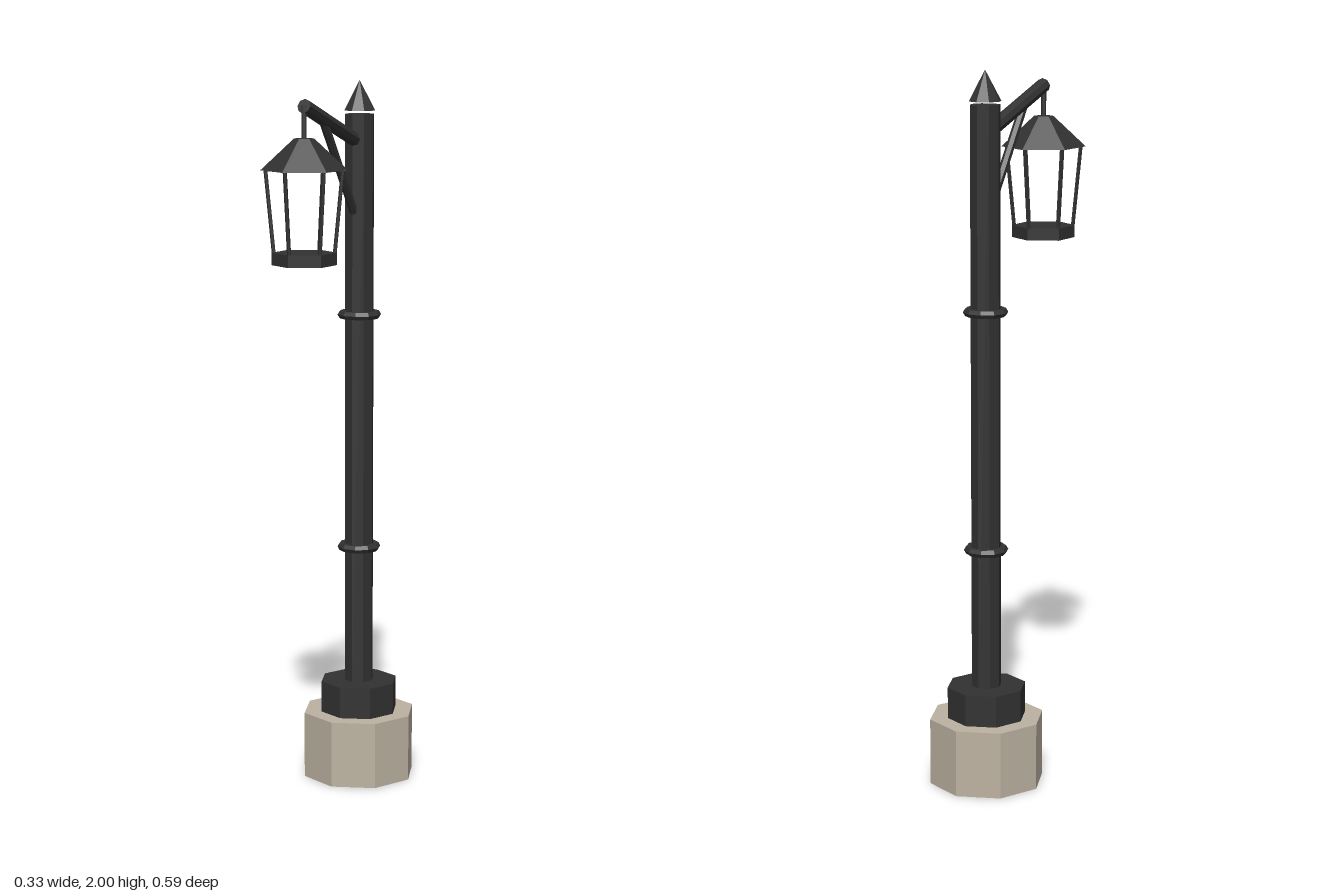
import * as THREE from 'three';

export function createModel() {
  const model = new THREE.Group();
  const iron = new THREE.MeshStandardMaterial({ color: 0x323232 });
  iron.name = 'dark iron';
  const stone = new THREE.MeshStandardMaterial({ color: 0xbdb3a2 });
  stone.name = 'pale stone';
  const poleZ = -0.135, lampZ = 0.178;

  const add = (name, geometry, material = iron, parent = model) => {
    const flat = geometry.index ? geometry.toNonIndexed() : geometry;
    flat.computeVertexNormals(); // faceted look
    const mesh = new THREE.Mesh(flat, material);
    mesh.name = name;
    parent.add(mesh);
    return mesh;
  };

  // Upright prism or frustum between two heights
  const prism = (name, rTop, rBottom, y0, y1, sides, z, material, parent) => {
    const mesh = add(name, new THREE.CylinderGeometry(rTop, rBottom, y1 - y0, sides), material, parent);
    mesh.position.set(0, (y0 + y1) / 2, z);
    return mesh;
  };

  // Straight bar between two points
  const bar = (name, a, b, r, sides, parent) => {
    const dir = b.clone().sub(a);
    const mesh = add(name, new THREE.CylinderGeometry(r, r, dir.length(), sides), iron, parent);
    mesh.position.copy(a).add(b).multiplyScalar(0.5);
    mesh.quaternion.setFromUnitVectors(new THREE.Vector3(0, 1, 0), dir.normalize());
    return mesh;
  };
  const at = (y, z) => new THREE.Vector3(0, y, z);

  // Stepped base and post
  prism('stoneBase', 0.163, 0.163, 0, 0.19, 8, poleZ, stone);
  prism('postFoot', 0.112, 0.112, 0.19, 0.28, 8, poleZ);
  prism('post', 0.042, 0.042, 0.28, 1.907, 8, poleZ);
  add('finial', new THREE.ConeGeometry(0.045, 0.084, 8)).position.set(0, 1.958, poleZ);

  // Collars around the post
  for (const y of [0.675, 1.345]) {
    const collar = add('collar', new THREE.TorusGeometry(0.05, 0.012, 6, 10).rotateX(Math.PI / 2));
    collar.position.set(0, y, poleZ);
  }

  // Arm, diagonal brace and hanging rod
  bar('arm', at(1.826, -0.135), at(1.939, 0.178), 0.02, 8);
  bar('brace', at(1.61, -0.12), at(1.9, 0.075), 0.012, 6);
  bar('hangingRod', at(1.84, lampZ), at(1.94, lampZ), 0.007, 6);

  // Open six-sided lantern
  const lantern = new THREE.Group();
  lantern.name = 'lantern';
  model.add(lantern);
  prism('lanternRoof', 0.027, 0.118, 1.768, 1.853, 6, lampZ, iron, lantern);
  prism('lanternTray', 0.088, 0.088, 1.513, 1.547, 6, lampZ, iron, lantern);
  for (let i = 0; i < 6; i++) {
    const a = (i * Math.PI) / 3;
    const corner = (r, y) => new THREE.Vector3(Math.sin(a) * r, y, lampZ + Math.cos(a) * r);
    bar('lanternBar', corner(0.082, 1.54), corner(0.104, 1.772), 0.0055, 5, lantern);
  }
  return model;
}
